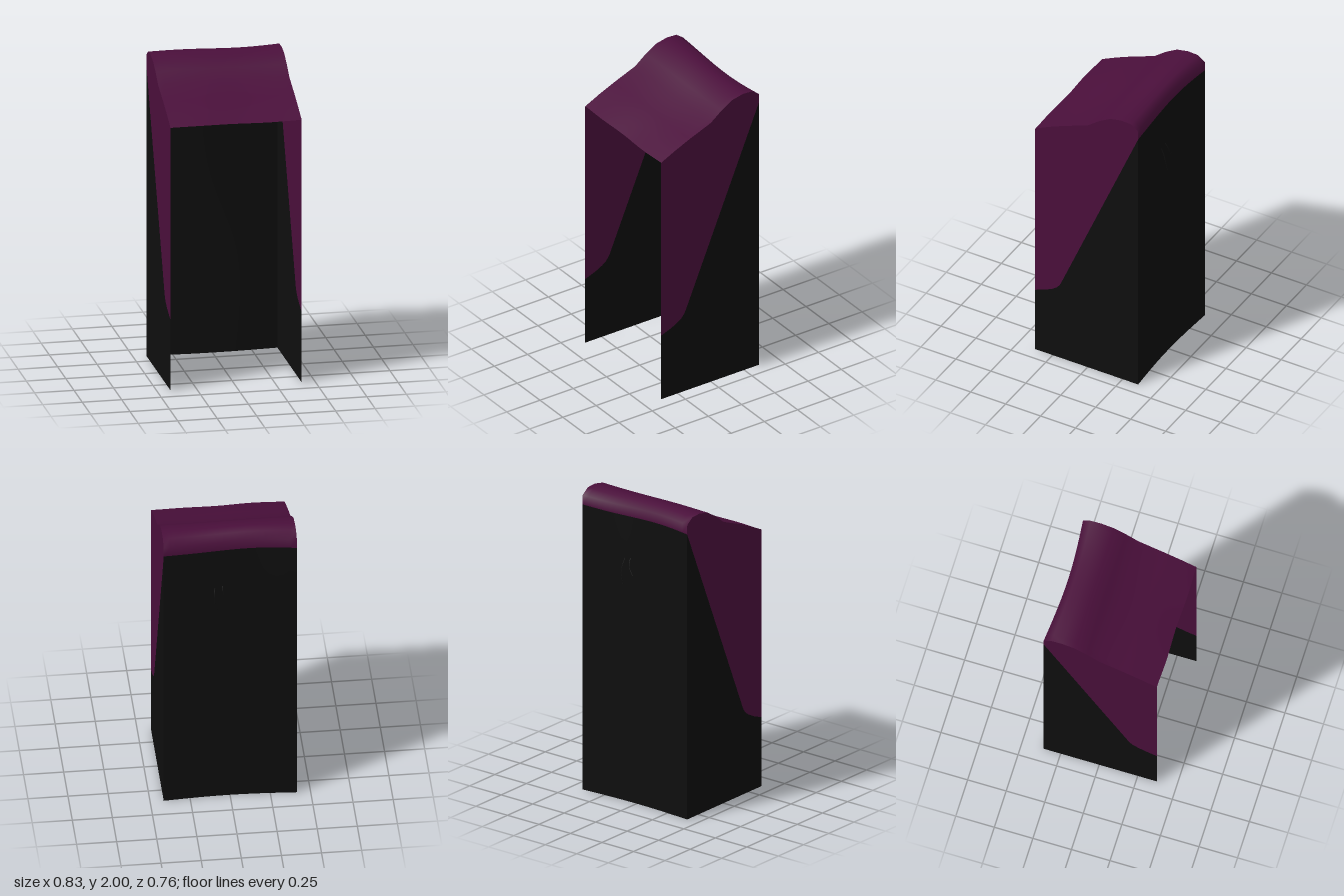
import * as THREE from 'three';

const HALF = 0.415;

// Roof profile from front edge over the ridge to the back band, as [z, y]
const ROOF = [
  [0.376, 1.705], [0.27, 1.757], [0.16, 1.805], [0, 1.868], [-0.08, 1.93],
  [-0.16, 1.978], [-0.24, 1.995], [-0.31, 1.991], [-0.36, 1.955], [-0.361, 1.893],
];
// Seam between the two fabrics on the side walls, from back to front
const SEAM = [[-0.361, 1.893], [0.19, 0.58], [0.2, 0.56], [0.22, 0.535], [0.25, 0.513], [0.3, 0.487], [0.376, 0.458]];

// Grid of cloth: point(u, v) returns [x, y, z]
function sheet(nu, nv, point) {
  const pos = [], index = [];
  for (let j = 0; j <= nv; j++) {
    for (let i = 0; i <= nu; i++) {
      pos.push(...point(i / nu, j / nv));
      if (i < nu && j < nv) {
        const a = j * (nu + 1) + i, b = a + nu + 1;
        index.push(a, a + 1, b + 1, a, b + 1, b);
      }
    }
  }
  const g = new THREE.BufferGeometry();
  g.setAttribute('position', new THREE.Float32BufferAttribute(pos, 3));
  g.setIndex(index);
  g.computeVertexNormals();
  return g;
}

// Inward sag of the back edge, zero at the corners
const sag = (x) => 0.026 * Math.cos((x / HALF) * Math.PI / 2);
const ripple = (x) => -0.006 * Math.sin(x * Math.PI / HALF);

export function createModel() {
  const model = new THREE.Group();
  model.name = 'fabricShelter';

  const purple = new THREE.MeshStandardMaterial({ color: 0x4a0f3b, side: THREE.DoubleSide });
  purple.name = 'purple fabric';
  const black = new THREE.MeshStandardMaterial({ color: 0x0e0e0e, side: THREE.DoubleSide });
  black.name = 'black fabric';

  const add = (geometry, material, name) => {
    const mesh = new THREE.Mesh(geometry, material);
    mesh.name = name;
    model.add(mesh);
    return mesh;
  };

  // Roof, rolling over the ridge into a narrow band at the back
  const last = ROOF.length - 1;
  add(sheet(20, last, (u, v) => {
    const x = (u * 2 - 1) * HALF;
    const k = Math.round(v * last);
    const [z, y] = ROOF[k];
    const back = THREE.MathUtils.clamp(-z / 0.36, 0, 1);
    const front = k === 0 ? -0.003 * Math.cos(x * Math.PI / 0.22) : 0;
    return [x, y + ripple(x) * Math.max(back, 0.4), z + sag(x) * back ** 3 + front];
  }), purple, 'roof');

  // Back wall, meeting the roof band and bulging slightly below it
  add(sheet(20, 12, (u, v) => {
    const x = (u * 2 - 1) * HALF;
    const y = v * (1.893 + ripple(x));
    const bulge = Math.sin(v * Math.PI) * 0.012 * Math.cos((x / HALF) * Math.PI / 2);
    return [x, y, -0.361 + sag(x) * (0.7 + 0.3 * v) - bulge];
  }).scale(1, 1, 1), black, 'backWall');

  // Side walls: purple upper panel and black lower panel
  const panel = (points, x) => new THREE.ShapeGeometry(
    new THREE.Shape(points.map(([z, y]) => new THREE.Vector2(z, y))),
  ).rotateY(-Math.PI / 2).translate(x, 0, 0);
  const upper = [...ROOF.slice(0, last), ...SEAM];
  const lower = [...SEAM, [0.376, 0], [-0.361, 0]];
  for (const [side, x] of [['left', HALF], ['right', -HALF]]) {
    add(panel(upper, x), purple, side + 'UpperPanel');
    add(panel(lower, x), black, side + 'LowerPanel');
  }

  // Two thin hooked cords hanging on the back wall
  const cords = [
    [[0.047, 1.62, -0.342], [0.046, 1.6, -0.358], [0.035, 1.56, -0.368], [0.01, 1.52, -0.372]],
    [[0.093, 1.61, -0.342], [0.097, 1.57, -0.362], [0.098, 1.52, -0.375], [0.08, 1.45, -0.379]],
  ];
  cords.forEach((pts, i) => {
    const curve = new THREE.CatmullRomCurve3(pts.map((p) => new THREE.Vector3(...p)));
    add(new THREE.TubeGeometry(curve, 16, 0.0025, 6), black, 'cord' + (i + 1));
  });

  return model;
}
